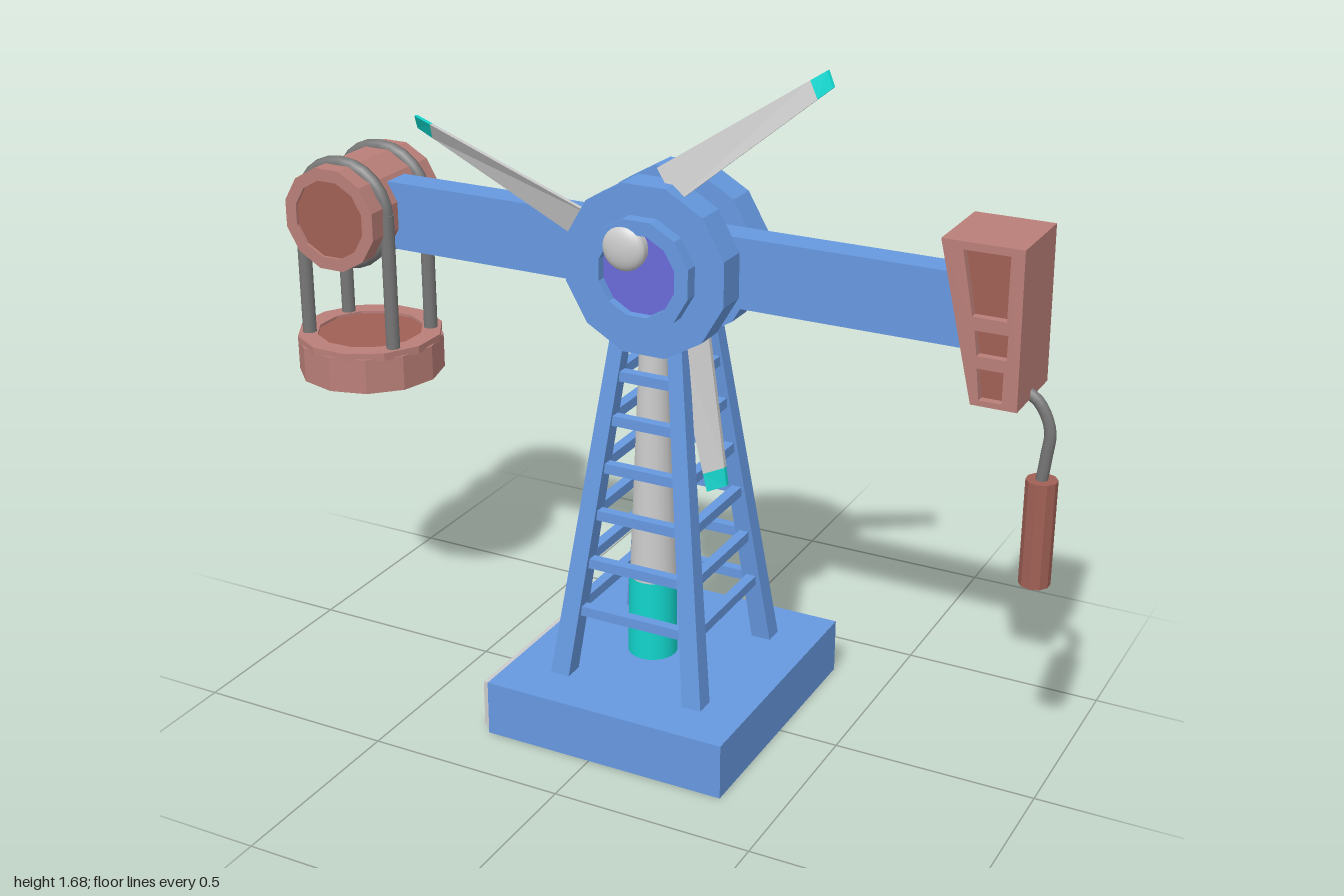
import * as THREE from 'three';

const mat = (color, extra = {}) => new THREE.MeshStandardMaterial({ color, ...extra });
const flat = { flatShading: true };
const blue = mat(0x6699e0, flat);
const brown = mat(0xba7f78, flat);
const darkBrown = mat(0xa06055, flat);
const purple = mat(0x6a6ad8, flat);
const grey = mat(0xcccccc);
const teal = mat(0x12d5cc);
const iron = mat(0x777777);

const CX = 0.035; // tower axis
const HUB_Y = 1.18;

function add(parent, name, geometry, material, x = 0, y = 0, z = 0) {
  const mesh = new THREE.Mesh(geometry, material);
  mesh.name = name;
  mesh.position.set(x, y, z);
  parent.add(mesh);
  return mesh;
}

// Box without its underside, standing on y = 0
function openBox(w, h, d) {
  const g = new THREE.BoxGeometry(w, h, d).translate(0, h / 2, 0);
  const index = Array.from(g.index.array);
  index.splice(18, 6);
  g.setIndex(index);
  g.clearGroups();
  return g;
}

// Twelve-sided disc with its axis along z and a flat side on top
const disc = (r, depth) => new THREE.CylinderGeometry(r, r, depth, 12).rotateY(Math.PI / 12).rotateX(Math.PI / 2);

function polygon(r, Type, start = Math.PI / 12) {
  const pts = [];
  for (let i = 0; i < 12; i++) {
    const a = start + (i * Math.PI) / 6;
    pts.push(new THREE.Vector2(r * Math.cos(a), r * Math.sin(a)));
  }
  return new Type(pts);
}

// Twelve-sided ring centred on z = 0
function ring(outer, inner, depth) {
  const shape = polygon(outer, THREE.Shape);
  shape.holes.push(polygon(inner, THREE.Path));
  return new THREE.ExtrudeGeometry(shape, { depth, bevelEnabled: false }).translate(0, 0, -depth / 2);
}

// Half-width of the tower at a height, along x and z
const spreadX = y => 0.18 - 0.122 * (y - 0.14);
const spreadZ = y => 0.197 - 0.122 * (y - 0.14);

function tower(root) {
  const g = new THREE.Group();
  g.name = 'tower';
  root.add(g);
  // Leaning, tapering legs
  for (const sx of [-1, 1]) for (const sz of [-1, 1]) {
    const geo = new THREE.BoxGeometry(1, 1, 1);
    const p = geo.attributes.position;
    for (let i = 0; i < p.count; i++) {
      const y = p.getY(i) < 0 ? 0.13 : 1.1;
      const w = p.getY(i) < 0 ? 0.05 : 0.036;
      p.setXYZ(i, CX + sx * spreadX(y) + p.getX(i) * w, y, sz * spreadZ(y) + p.getZ(i) * w);
    }
    geo.computeVertexNormals();
    add(g, 'towerLeg', geo, blue);
  }
  // Rungs on all four sides
  for (const y of [0.31, 0.435, 0.56, 0.68, 0.8, 0.91]) {
    const x = spreadX(y), z = spreadZ(y);
    for (const s of [-1, 1]) {
      add(g, 'rung', new THREE.BoxGeometry(2 * x, 0.025, 0.025), blue, CX, y, s * z);
      add(g, 'rung', new THREE.BoxGeometry(0.025, 0.025, 2 * z), blue, CX + s * x, y, 0);
    }
  }
  // Central column
  add(g, 'columnFoot', new THREE.CylinderGeometry(0.06, 0.062, 0.24, 20, 1, true),
    mat(0x12d5cc, { side: THREE.DoubleSide }), -0.003, 0.23, 0);
  add(g, 'column', new THREE.CylinderGeometry(0.03, 0.06, 0.75, 20), grey, 0, 0.725, 0);
}

// Pitched plate whose edges run from root to tip, between two radii
function bladePart(r0, r1, rEnd) {
  const geo = new THREE.BoxGeometry(1, 1, 1);
  const p = geo.attributes.position;
  for (let i = 0; i < p.count; i++) {
    const r = p.getX(i) < 0 ? r0 : r1;
    const t = (r - 0.12) / (rEnd - 0.12);
    const upper = p.getY(i) > 0;
    const across = upper ? 0.102 - 0.081 * t : 0.011 - 0.029 * t;
    p.setXYZ(i, r, across, (upper ? 0.06 : 0.088) + p.getZ(i) * 0.012);
  }
  geo.computeVertexNormals();
  return geo;
}

function hub(root) {
  const g = new THREE.Group();
  g.name = 'hub';
  g.position.set(CX, HUB_Y, 0);
  root.add(g);
  add(g, 'hubCore', disc(0.16, 0.1), blue);
  for (const s of [-1, 1]) {
    add(g, 'hubDisc', disc(0.21, 0.08), blue, 0, 0, s * 0.08);
    add(g, 'hubRim', ring(0.135, 0.1, 0.04), blue, 0, 0, s * 0.135);
    add(g, 'hubWindow', disc(0.101, 0.02), purple, 0, 0, s * 0.122);
  }
  // Rotor shaft and its rounded cap
  add(g, 'rotorShaft', new THREE.CylinderGeometry(0.054, 0.054, 0.07, 20).rotateX(Math.PI / 2), grey, -0.035, 0.06, 0.115);
  add(g, 'rotorCap', new THREE.SphereGeometry(0.055, 20, 14), grey, -0.035, 0.06, 0.147).scale.z = 0.42;
  // Three blades
  const blades = [[43, 0.6], [163, 0.645], [287, 0.625]];
  for (const [angle, length] of blades) {
    const blade = new THREE.Group();
    blade.name = 'blade';
    blade.position.set(-0.012, 0.075, 0);
    blade.rotation.z = THREE.MathUtils.degToRad(angle);
    g.add(blade);
    add(blade, 'bladePlate', bladePart(0.12, length - 0.045, length), mat(0xcccccc, flat));
    add(blade, 'bladeTip', bladePart(length - 0.045, length, length), mat(0x12d5cc, flat));
  }
}

function drumAndBasket(root) {
  const g = new THREE.Group();
  g.name = 'drumAndBasket';
  g.position.set(-0.815, 0, 0);
  root.add(g);
  add(g, 'drum', disc(0.132, 0.24), brown, 0, 1.185, 0);
  for (const s of [-1, 1]) {
    add(g, 'drumRim', ring(0.132, 0.1, 0.03), brown, 0, 1.185, s * 0.133);
    add(g, 'drumFace', disc(0.101, 0.02), darkBrown, 0, 1.185, s * 0.13);
    // Hoop over the drum with two hanging rods
    add(g, 'hoop', new THREE.TorusGeometry(0.126, 0.018, 8, 24), iron, 0, 1.188, s * 0.085);
    for (const sx of [-1, 1]) {
      add(g, 'hangingRod', new THREE.CylinderGeometry(0.018, 0.018, 0.37, 10), iron, sx * 0.127, 1.015, s * 0.085);
    }
  }
  add(g, 'basketFloor', new THREE.CylinderGeometry(0.185, 0.185, 0.09, 12), brown, 0, 0.795, 0);
  add(g, 'basketRim', ring(0.185, 0.135, 0.02).rotateX(Math.PI / 2), brown, 0, 0.845, 0);
  add(g, 'basketInset', disc(0.136, 0.012).rotateX(Math.PI / 2), darkBrown, 0, 0.842, 0);
}

const points = list => list.map(([x, y]) => new THREE.Vector2(x, y));

function headAndHook(root) {
  const g = new THREE.Group();
  g.name = 'headAndHook';
  root.add(g);
  // Wedge-shaped head with three recessed panels on each side
  const outline = points([[0.82, 1.0], [0.925, 1.0], [0.92, 1.363], [0.735, 1.363]]);
  const panels = [
    [[0.785, 1.345], [0.89, 1.345], [0.89, 1.2], [0.813, 1.2]],
    [[0.82, 1.17], [0.895, 1.17], [0.895, 1.113], [0.828, 1.113]],
    [[0.83, 1.085], [0.89, 1.085], [0.89, 1.013], [0.838, 1.013]],
  ];
  const shape = new THREE.Shape(outline);
  for (const panel of panels) shape.holes.push(new THREE.Path(points(panel)));
  add(g, 'head', new THREE.ExtrudeGeometry(shape, { depth: 0.21, bevelEnabled: false }), brown, 0, 0, -0.105);
  for (const panel of panels) {
    add(g, 'headPanel', new THREE.ExtrudeGeometry(new THREE.Shape(points(panel)), { depth: 0.17, bevelEnabled: false }),
      darkBrown, 0, 0, -0.085);
  }
  // Bent cable and hanging weight
  const path = new THREE.CatmullRomCurve3([[0.9, 1.02], [0.945, 0.99], [0.972, 0.93], [0.968, 0.87], [0.96, 0.8]]
    .map(([x, y]) => new THREE.Vector3(x, y, 0.005)));
  add(g, 'cable', new THREE.TubeGeometry(path, 16, 0.014, 8), iron);
  add(g, 'weight', new THREE.CylinderGeometry(0.036, 0.036, 0.255, 10), darkBrown, 0.962, 0.685, 0.005);
}

export function createModel() {
  const root = new THREE.Group();
  root.name = 'windTower';
  // Hollow base and its offset inner lining
  add(root, 'base', openBox(0.63, 0.14, 0.68), mat(0x6699e0, { flatShading: true, side: THREE.DoubleSide }), CX, 0, 0);
  add(root, 'baseLining', openBox(0.63, 0.12, 0.62), mat(0xcccccc, { flatShading: true, side: THREE.DoubleSide }), 0.005, 0, 0);
  tower(root);
  // Cross arm
  add(root, 'arm', new THREE.BoxGeometry(1.52, 0.17, 0.075), blue, 0.045, 1.183, 0);
  hub(root);
  drumAndBasket(root);
  headAndHook(root);
  return root;
}
